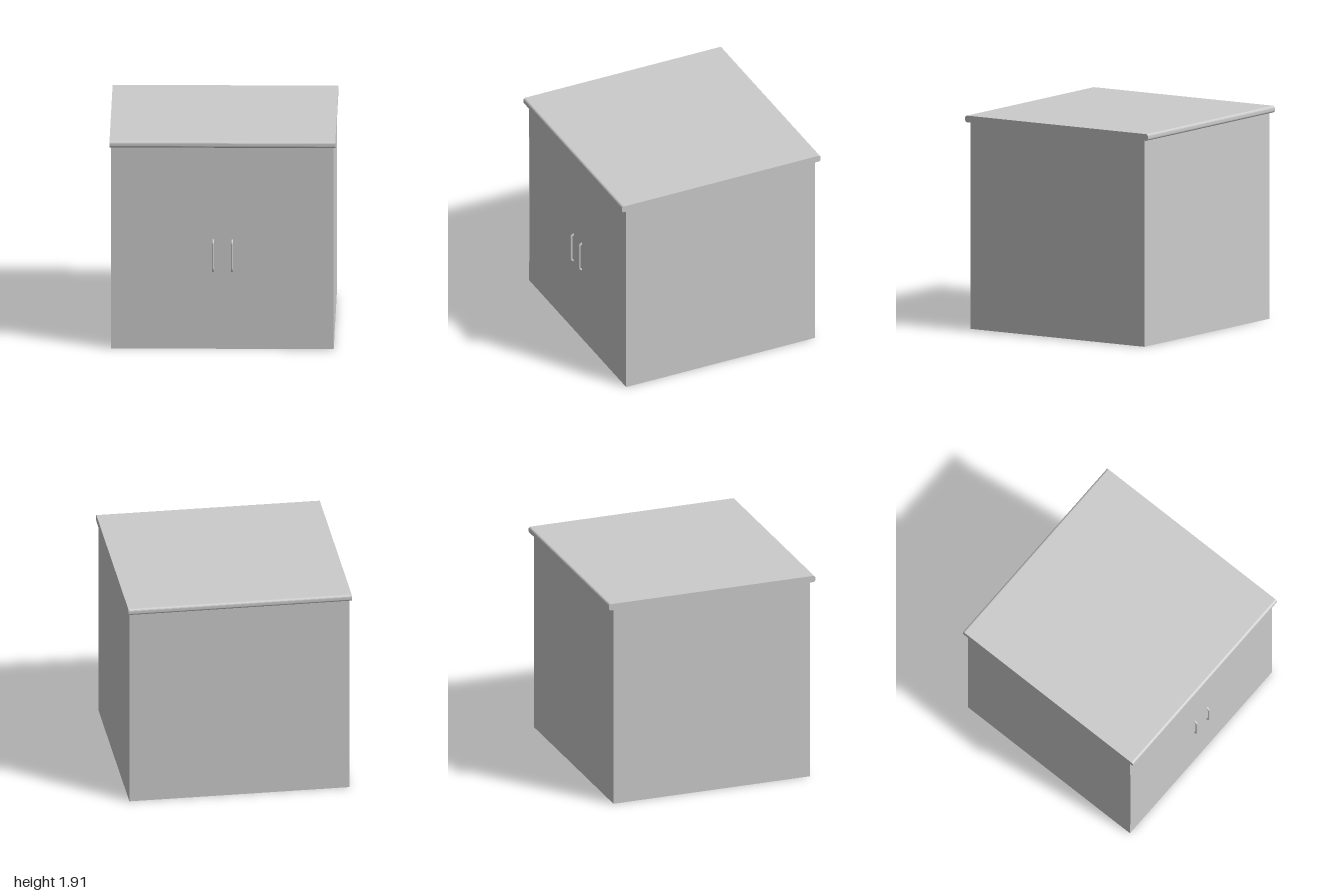
import * as THREE from 'three';

const HALF_W = 0.985, HALF_D = 0.93, FLOOR = 0.2, TOP = 1.85, HEIGHT = 1.91;
const DIVIDER_X = -0.4;

export function createModel() {
  const group = new THREE.Group();
  const grey = new THREE.MeshStandardMaterial({ color: 0xcccccc });
  const sheet = new THREE.MeshStandardMaterial({ color: 0xcccccc, side: THREE.DoubleSide });

  const add = (name, geometry, material = grey) => {
    const mesh = new THREE.Mesh(geometry, material);
    mesh.name = name;
    group.add(mesh);
    return mesh;
  };
  // thin panel facing +z, turned as needed
  const panel = (name, w, h, x, y, z, rx = 0, ry = 0) => {
    const mesh = add(name, new THREE.PlaneGeometry(w, h), sheet);
    mesh.position.set(x, y, z);
    mesh.rotation.set(rx, ry, 0);
  };

  // carcass: back, sides, front plinth; open underneath
  panel('backPanel', 2 * HALF_W, TOP, 0, TOP / 2, -HALF_D, 0, Math.PI);
  panel('plinth', 2 * HALF_W, FLOOR, 0, FLOOR / 2, HALF_D);
  for (const [side, s] of [['left', 1], ['right', -1]]) {
    panel(side + 'Side', 2 * HALF_D, TOP, s * HALF_W, TOP / 2, 0, 0, s * Math.PI / 2);
    panel(side + 'Door', HALF_W, TOP - FLOOR, s * HALF_W / 2, (TOP + FLOOR) / 2, HALF_D);
  }

  // raised floor, stopping at an inner divider
  panel('floor', HALF_W - DIVIDER_X, 2 * HALF_D, (HALF_W + DIVIDER_X) / 2, FLOOR, 0, Math.PI / 2);
  panel('divider', 2 * HALF_D, TOP - FLOOR, DIVIDER_X, (TOP + FLOOR) / 2, 0, 0, -Math.PI / 2);

  // narrow strip along the right door's hinge edge
  add('hingeStrip', new THREE.BoxGeometry(0.008, 1.3, 0.004)).position.set(-0.97, 0.855, HALF_D);

  // worktop: rounded front and back edges, extruded across the width
  const r = 0.022, d = 0.978;
  const profile = new THREE.Shape();
  profile.absarc(d - r, HEIGHT - r, r, 0, Math.PI / 2);
  profile.absarc(-d + r, HEIGHT - r, r, Math.PI / 2, Math.PI);
  profile.absarc(-d + r, TOP + r, r, Math.PI, 1.5 * Math.PI);
  profile.absarc(d - r, TOP + r, r, 1.5 * Math.PI, 2 * Math.PI);
  const topGeometry = new THREE.ExtrudeGeometry(profile, { depth: 2, bevelEnabled: false, curveSegments: 4 });
  topGeometry.translate(0, 0, -1).rotateY(-Math.PI / 2);
  add('worktop', topGeometry);

  // bow handles
  const points = [[0.998, 0.922], [0.976, 0.952], [0.732, 0.952], [0.71, 0.922]]
    .map(([y, z]) => new THREE.Vector3(0, y, z));
  const path = new THREE.CurvePath();
  const a = points[1].clone().lerp(points[0], 0.3), b = points[1].clone().lerp(points[2], 0.05);
  const c = points[2].clone().lerp(points[1], 0.05), e = points[2].clone().lerp(points[3], 0.3);
  path.add(new THREE.LineCurve3(points[0], a));
  path.add(new THREE.QuadraticBezierCurve3(a, points[1], b));
  path.add(new THREE.LineCurve3(b, c));
  path.add(new THREE.QuadraticBezierCurve3(c, points[2], e));
  path.add(new THREE.LineCurve3(e, points[3]));
  for (const [side, s] of [['left', 1], ['right', -1]]) {
    add(side + 'Handle', new THREE.TubeGeometry(path, 60, 0.01, 12)).position.x = s * 0.084;
  }
  return group;
}
